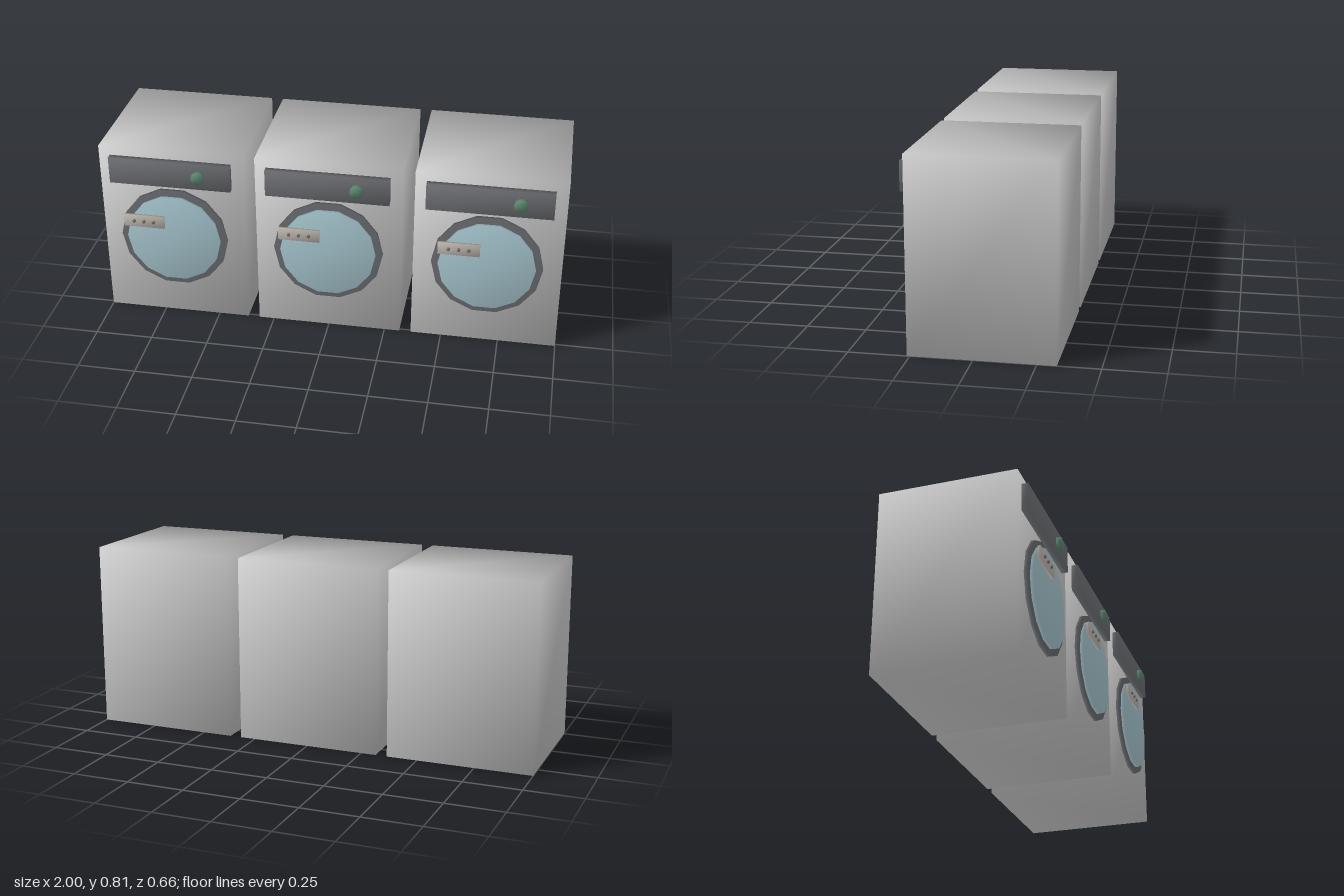
import * as THREE from 'three';
import { mergeVertices } from 'three/addons/utils/BufferGeometryUtils.js';

const SIDES = 14;
const mat = (color) => new THREE.MeshStandardMaterial({ color });

// Share corners between faces so the shading blends softly over the edges
function soften(geometry) {
  geometry.deleteAttribute('normal');
  geometry.deleteAttribute('uv');
  const merged = mergeVertices(geometry, 1e-4);
  merged.computeVertexNormals();
  return merged;
}

function part(name, geometry, material, x, y, z) {
  const mesh = new THREE.Mesh(soften(geometry), material);
  mesh.name = name;
  mesh.position.set(x, y, z);
  return mesh;
}

// Box between z0 and z1, centred on x, y
const slab = (name, material, w, h, x, y, z0, z1) =>
  part(name, new THREE.BoxGeometry(w, h, z1 - z0), material, x, y, (z0 + z1) / 2);

// Disc facing +z between z0 and z1, with a flat side on top
const disc = (name, material, r, x, y, z0, z1) =>
  part(name, new THREE.CylinderGeometry(r, r, z1 - z0, SIDES, 1, false, Math.PI / SIDES).rotateX(Math.PI / 2),
    material, x, y, (z0 + z1) / 2);

export function createModel() {
  const model = new THREE.Group();
  model.name = 'washingMachines';
  const grey = mat(0xcccccc), dark = mat(0x707276), rim = mat(0x6c6e72);
  const glass = mat(0xaacad3), green = mat(0x5f8a72), metal = mat(0xc4bcb4), stud = mat(0x77736f);
  const front = 0.262;

  for (const x of [-0.6835, 0, 0.6835]) {
    const machine = new THREE.Group();
    machine.name = 'machine';
    machine.position.x = x;

    machine.add(
      slab('cabinet', grey, 0.633, 0.806, 0, 0.403, -0.328, front),
      // Control strip and its dial
      slab('controlPanel', dark, 0.532, 0.12, -0.002, 0.706, front, 0.29),
      disc('dial', green, 0.029, 0.126, 0.706, 0.29, 0.307),
      // Round door
      disc('doorRim', rim, 0.2375, 0, 0.389, front, 0.277),
      disc('doorGlass', glass, 0.2077, 0, 0.389, front, 0.291),
      // Handle plate standing off the glass
      slab('handle', metal, 0.178, 0.056, -0.119, 0.483, 0.309, 0.321),
    );
    for (const sx of [-0.162, -0.119, -0.076])
      machine.add(disc('handleStud', stud, 0.007, sx, 0.484, 0.321, 0.328));

    model.add(machine);
  }
  return model;
}
